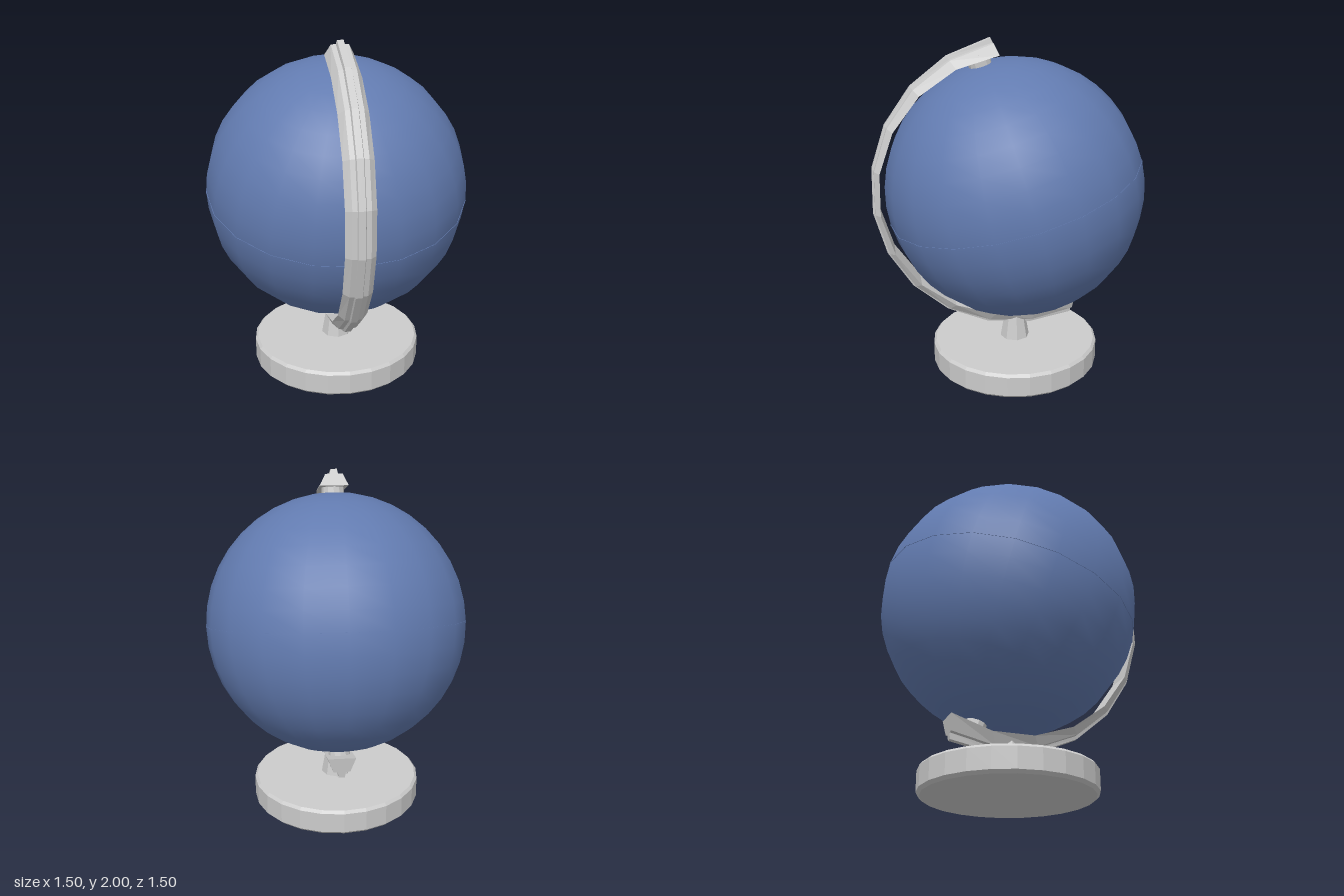
import * as THREE from 'three';

const rad = THREE.MathUtils.degToRad;
const CENTRE = 1.125; // height of the ball's centre
const TILT = rad(15);

// Curved arm: a ribbed trapezoid section swept round the ball, thicker at its ends
function armGeometry() {
  // section points: [sideways offset, 0 = inner circle .. 1 = outer circle]
  const section = [
    [-0.082, 0], [-0.05, 0.7], [-0.023, 0.72], [-0.018, 1],
    [0.018, 1], [0.023, 0.72], [0.05, 0.7], [0.082, 0],
  ];
  const steps = 11, n = section.length;
  const positions = [], index = [];
  for (let i = 0; i <= steps; i++) {
    const k = i / steps;
    const a = rad(THREE.MathUtils.lerp(83, -117, k));
    const b = rad(THREE.MathUtils.lerp(77.5, -109, k));
    const inner = new THREE.Vector2(0.793 * Math.cos(a), 0.793 * Math.sin(a));
    const outer = new THREE.Vector2(-0.055 + 0.89 * Math.cos(b), 0.005 + 0.89 * Math.sin(b));
    for (const [side, t] of section) {
      const p = inner.clone().lerp(outer, t);
      positions.push(p.x, p.y, side);
    }
  }
  for (let i = 0; i < steps; i++) {
    for (let j = 0; j < n; j++) {
      const a = i * n + j, b = i * n + (j + 1) % n;
      index.push(a, b, b + n, a, b + n, a + n);
    }
  }
  // end caps
  const outline = section.map(([side, t]) => new THREE.Vector2(t * 0.1, side));
  for (const [a, b, c] of THREE.ShapeUtils.triangulateShape(outline, [])) {
    const last = steps * n;
    index.push(a, c, b, last + a, last + b, last + c);
  }
  const geometry = new THREE.BufferGeometry();
  geometry.setAttribute('position', new THREE.Float32BufferAttribute(positions, 3));
  geometry.setIndex(index);
  geometry.computeVertexNormals();
  return geometry;
}

export function createModel() {
  const model = new THREE.Group();
  model.name = 'deskGlobe';
  const grey = new THREE.MeshStandardMaterial({ color: 0xcccccc, flatShading: true });
  const blue = new THREE.MeshStandardMaterial({ color: 0x627bb0 });

  const add = (parent, name, geometry, material, y = 0) => {
    const mesh = new THREE.Mesh(geometry, material);
    mesh.name = name;
    mesh.position.y = y;
    parent.add(mesh);
    return mesh;
  };

  // Round base with small bevels
  const profile = [[0, 0], [0.485, 0], [0.503, 0.018], [0.503, 0.137], [0.488, 0.153], [0, 0.153]]
    .map(([x, y]) => new THREE.Vector2(x, y));
  add(model, 'base', new THREE.LatheGeometry(profile, 24), grey);

  // Tapered stem between base and arm
  add(model, 'stem', new THREE.CylinderGeometry(0.062, 0.09, 0.16, 8), grey, 0.225);

  // Arm and ball lie in a vertical plane turned to the front corner
  const upper = new THREE.Group();
  upper.name = 'globeAndArm';
  upper.position.y = CENTRE;
  upper.rotation.y = -Math.PI / 4;
  model.add(upper);
  add(upper, 'arm', armGeometry(), grey);

  // Ball on its tilted axis
  const globe = new THREE.Group();
  globe.name = 'globe';
  globe.rotation.z = -TILT;
  upper.add(globe);
  add(globe, 'ball', new THREE.SphereGeometry(0.755, 20, 20), blue);
  add(globe, 'equatorSeam', new THREE.CylinderGeometry(0.757, 0.757, 0.008, 20), blue);

  // Pivot pins at both poles
  for (const s of [1, -1]) {
    add(globe, s > 0 ? 'topPivot' : 'bottomPivot',
      new THREE.CylinderGeometry(0.065, 0.065, 0.08, 12), grey, s * 0.775);
  }
  return model;
}
